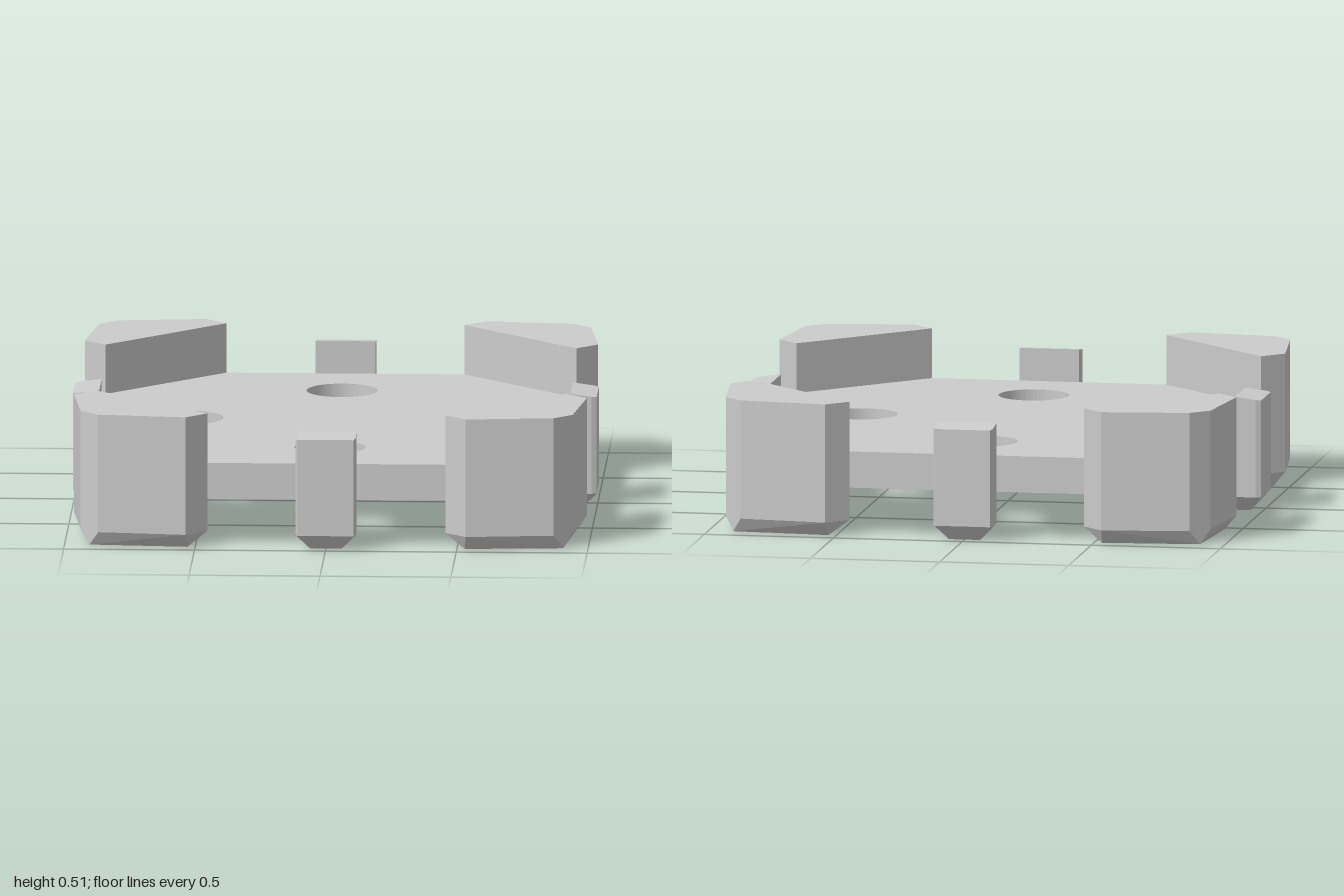
import * as THREE from 'three';
import { ConvexGeometry } from 'three/addons/geometries/ConvexGeometry.js';

const material = new THREE.MeshStandardMaterial({ color: 0xcccccc });

// Octagonal plate with four round through holes
function plateGeometry() {
  const a = 0.9, b = 0.455;
  const shape = new THREE.Shape(
    [[a, -b], [a, b], [b, a], [-b, a], [-a, b], [-a, -b], [-b, -a], [b, -a]].map(([x, y]) => new THREE.Vector2(x, y))
  );
  for (let i = 0; i < 4; i++) {
    const t = (i * Math.PI) / 2;
    const hole = new THREE.Path();
    hole.absarc(0.565 * Math.cos(t), 0.565 * Math.sin(t), 0.135, 0, Math.PI * 2, true);
    shape.holes.push(hole);
  }
  const geometry = new THREE.ExtrudeGeometry(shape, { depth: 0.14, bevelEnabled: false, curveSegments: 32 });
  return geometry.rotateX(-Math.PI / 2).translate(0, 0.18, 0);
}

// Corner block: six-sided prism that tapers to a triangular foot
function cornerGeometry() {
  const outline = [[0.9, 0.455], [0.98, 0.535], [0.94, 0.87], [0.87, 0.94], [0.535, 0.98], [0.455, 0.9]];
  const foot = [[0.935, 0.53], [0.905, 0.905], [0.53, 0.935]];
  const ring = (points, y) => points.map(([x, z]) => new THREE.Vector3(x, y, z));
  return new ConvexGeometry([...ring(outline, 0.512), ...ring(outline, 0.055), ...ring(foot, 0)]);
}

// Side tab: upright bar with a sloping top and a chamfered foot
function tabGeometry() {
  const points = [];
  for (const s of [-1, 1]) {
    for (const [x, z, top] of [[0.115, 0.9, 0.446], [0.115, 0.98, 0.435], [0.107, 1, 0.432]]) {
      points.push(new THREE.Vector3(s * x, top, z), new THREE.Vector3(s * x, 0.058, z));
    }
    points.push(new THREE.Vector3(s * 0.06, 0, 0.9), new THREE.Vector3(s * 0.06, 0, 0.95));
  }
  return new ConvexGeometry(points);
}

export function createModel() {
  const model = new THREE.Group();
  const add = (name, geometry, turn = 0) => {
    const mesh = new THREE.Mesh(geometry, material);
    mesh.name = name;
    mesh.rotation.y = turn;
    model.add(mesh);
  };

  add('plate', plateGeometry());

  // Four corners and four tabs, a quarter turn apart
  const corner = cornerGeometry();
  const tab = tabGeometry();
  const cornerNames = ['frontLeft', 'backLeft', 'backRight', 'frontRight'];
  const sideNames = ['front', 'left', 'back', 'right'];
  for (let i = 0; i < 4; i++) {
    const turn = (i * Math.PI) / 2;
    add(cornerNames[i] + 'Corner', corner, turn);
    add(sideNames[i] + 'Tab', tab, turn);
  }
  return model;
}
